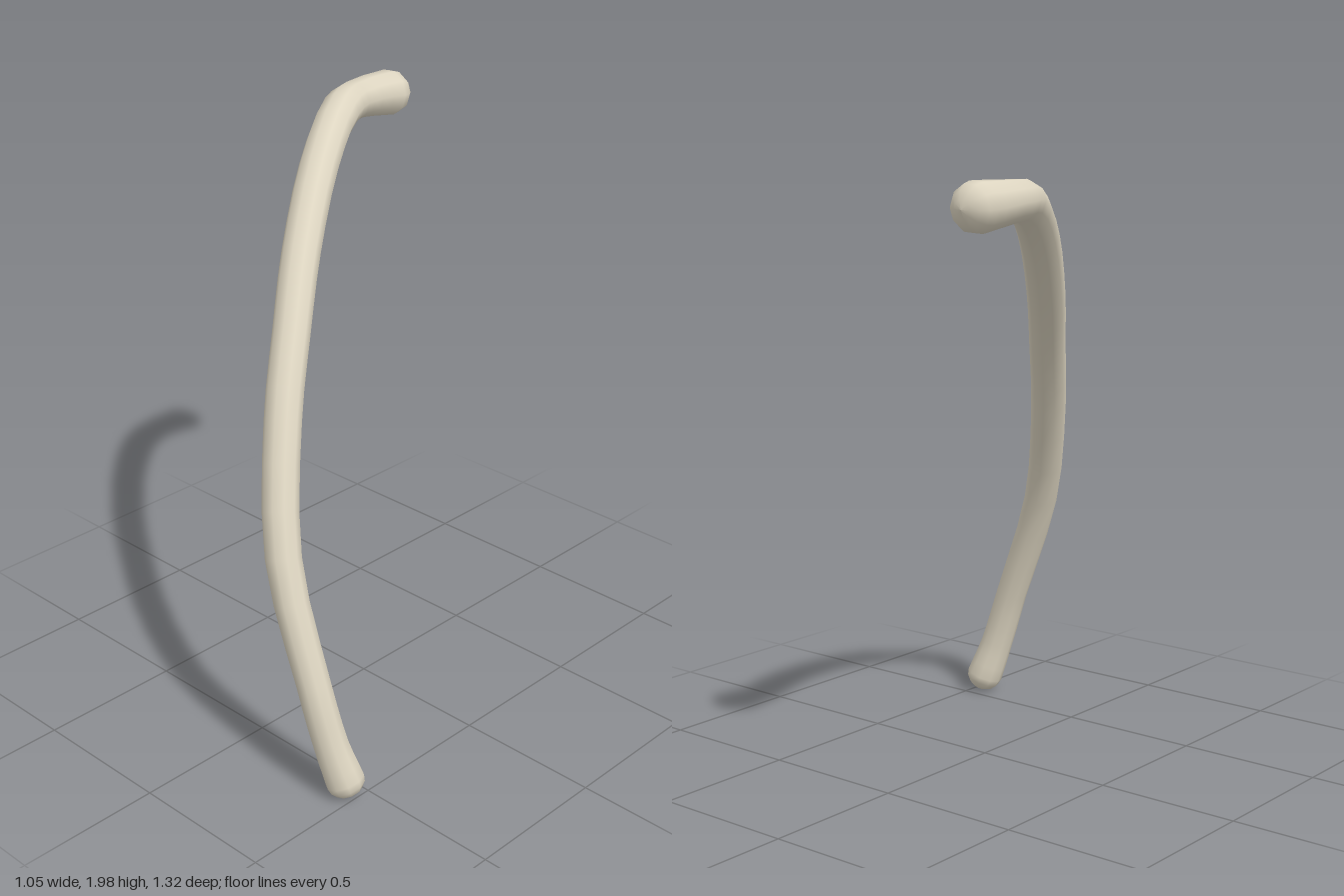
import * as THREE from 'three';

// Stations along the bone: x, y, z, in-plane radius, sideways radius
const STATIONS = [
  [0.460, 0.070, 0.567, 0.066, 0.066],
  [0.418, 0.200, 0.588, 0.056, 0.058],
  [0.357, 0.400, 0.600, 0.055, 0.056],
  [0.203, 0.790, 0.575, 0.054, 0.059],
  [0.060, 1.170, 0.430, 0.054, 0.061],
  [-0.040, 1.400, 0.290, 0.055, 0.062],
  [-0.150, 1.600, 0.135, 0.056, 0.064],
  [-0.287, 1.805, -0.085, 0.058, 0.066],
  [-0.405, 1.923, -0.310, 0.064, 0.068],
  [-0.446, 1.928, -0.440, 0.067, 0.070],
  [-0.447, 1.918, -0.590, 0.079, 0.081],
];
const SIDES = 10;

export function createModel() {
  const bone = new THREE.MeshStandardMaterial({ color: 0xddd5c1 });
  bone.name = 'bone';

  const points = STATIONS.map(s => new THREE.Vector3(s[0], s[1], s[2]));
  const curve = new THREE.CatmullRomCurve3(points, false, 'centripetal');
  const last = points.length - 1;
  const sideways = new THREE.Vector3(0.78, 0, -0.62);

  // Rings: centre, tangent and two radii
  const rings = [];
  const steps = last * 3;
  for (let i = 0; i <= steps; i++) {
    const t = i / steps, k = Math.min(Math.floor(t * last + 1e-6), last - 1), f = t * last - k;
    const a = STATIONS[k], b = STATIONS[k + 1];
    rings.push({
      c: curve.getPoint(t), t: curve.getTangent(t),
      r: THREE.MathUtils.lerp(a[3], b[3], f), s: THREE.MathUtils.lerp(a[4], b[4], f),
    });
  }

  // Domed ends: shrinking rings that step outwards to a pole
  const dome = (ring, sign) => [0.4, 0.8, 1.2, Math.PI / 2].map(a => ({
    c: ring.c.clone().addScaledVector(ring.t, sign * ring.r * 0.9 * Math.sin(a)),
    t: ring.t, r: ring.r * Math.cos(a), s: ring.s * Math.cos(a),
  }));
  const all = [...dome(rings[0], -1).reverse(), ...rings, ...dome(rings[steps], 1)];

  // Skin the rings
  const pos = [], index = [];
  all.forEach(({ c, t, r, s }, i) => {
    const u = sideways.clone().addScaledVector(t, -sideways.dot(t)).normalize();
    const v = new THREE.Vector3().crossVectors(t, u);
    for (let j = 0; j < SIDES; j++) {
      const a = (j / SIDES) * Math.PI * 2;
      const p = c.clone().addScaledVector(u, s * Math.cos(a)).addScaledVector(v, r * Math.sin(a));
      pos.push(p.x, p.y, p.z);
      if (i === 0) continue;
      const n = (j + 1) % SIDES, lo = (i - 1) * SIDES, hi = i * SIDES;
      index.push(lo + j, lo + n, hi + n, lo + j, hi + n, hi + j);
    }
  });
  const geometry = new THREE.BufferGeometry();
  geometry.setAttribute('position', new THREE.Float32BufferAttribute(pos, 3));
  geometry.setIndex(index);
  geometry.computeVertexNormals();

  const rib = new THREE.Mesh(geometry, bone);
  rib.name = 'curvedBone';
  const group = new THREE.Group();
  group.name = 'ribBone';
  group.add(rib);
  return group;
}
